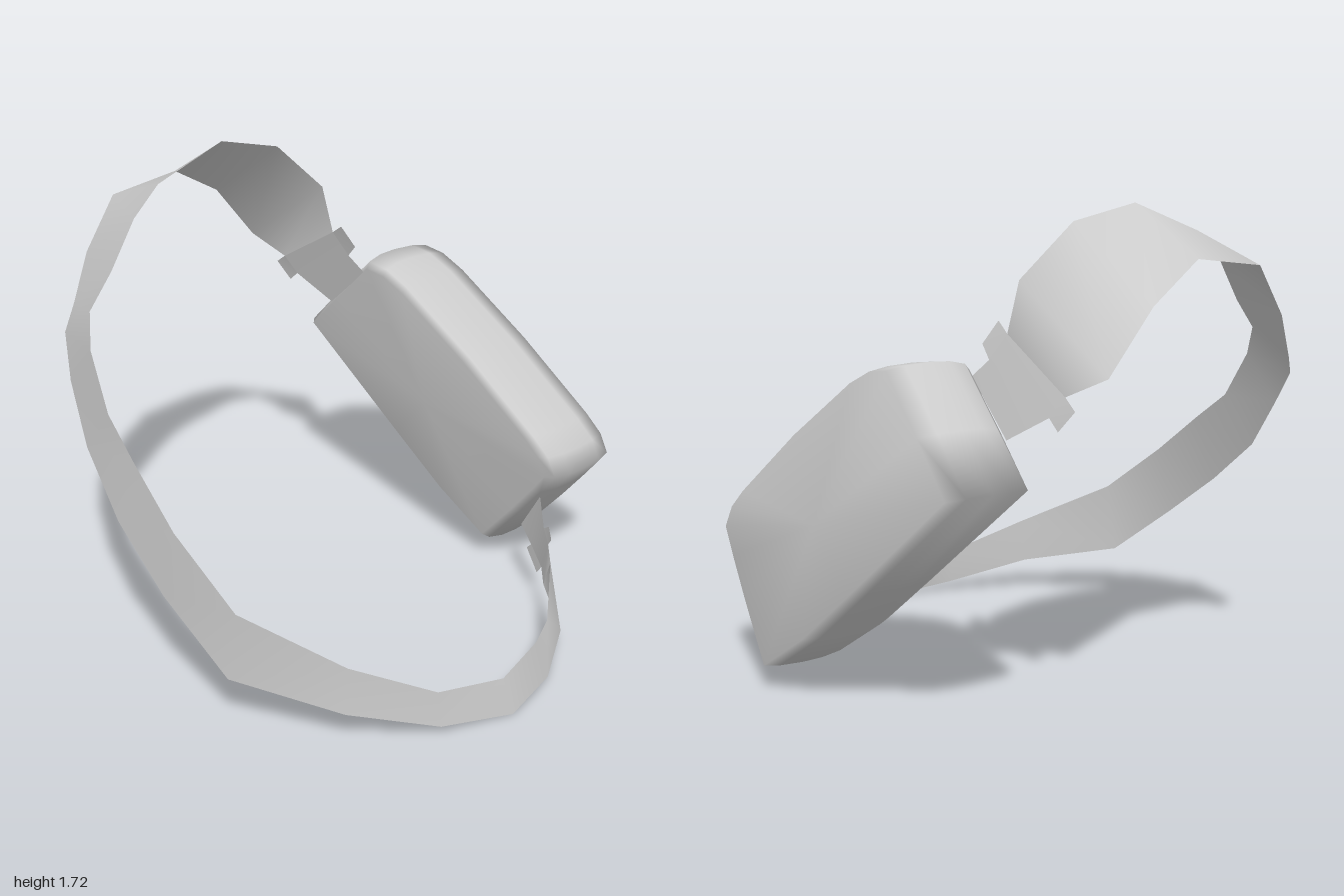
import * as THREE from 'three';
import { mergeVertices } from 'three/addons/utils/BufferGeometryUtils.js';

const grey = new THREE.MeshStandardMaterial({ color: 0xcccccc });
const greyThin = new THREE.MeshStandardMaterial({ color: 0xcccccc, side: THREE.DoubleSide });

function indexed(points, index) {
  const g = new THREE.BufferGeometry();
  g.setAttribute('position', new THREE.Float32BufferAttribute(points.flat(), 3));
  g.setIndex(index);
  const merged = mergeVertices(g, 1e-5);
  merged.computeVertexNormals();
  return merged;
}

function add(group, name, geometry, material) {
  const mesh = new THREE.Mesh(geometry, material);
  mesh.name = name;
  group.add(mesh);
}

// Ribbon through rungs: [upper x, y, z, lower x, y, z]
function ribbon(rungs) {
  const points = [], index = [];
  rungs.forEach((r, i) => {
    points.push(r.slice(0, 3), r.slice(3));
    if (i) {
      const a = 2 * i - 2;
      index.push(a, a + 1, a + 2, a + 1, a + 3, a + 2);
    }
  });
  return indexed(points, index);
}

// Padded case: one tilted outline stacked from its front face to its back face
function caseGeometry() {
  const outline = [
    [0.19, 0.07], [0.38, 0.28], [0.5, 0.42], [0.58, 0.52], [0.55, 0.6], [0.48, 0.67], [0.16, 0.92],
    [-0.17, 1.14], [-0.28, 1.19], [-0.38, 1.2], [-0.6, 1.0], [-0.79, 0.82], [-0.3, 0.42], [-0.05, 0.22],
  ];
  // [depth, outline scale]
  const layers = [[0, 0], [0, 0.93], [0.03, 0.97], [0.1, 0.995], [0.18, 1], [0.28, 0.99], [0.35, 0.965], [0.39, 0]];
  const cx = -0.1, cy = 0.64, n = outline.length;
  const points = [], index = [];
  layers.forEach(([depth, s], k) => {
    outline.forEach(([x, y], i) => {
      const py = cy + (y - cy) * s;
      points.push([cx + (x - cx) * s, py, -0.62 + 0.15 * py - depth]);
      if (k) {
        const a = (k - 1) * n + i, b = (k - 1) * n + (i + 1) % n;
        if (k > 1) index.push(a, a + n, b);
        if (k < layers.length - 1) index.push(b, a + n, b + n);
      }
    });
  });
  return indexed(points, index);
}

export function createModel() {
  const model = new THREE.Group();
  model.name = 'strappedCase';

  add(model, 'case', caseGeometry(), grey);

  // Shared rungs where the strap meets its end pieces
  const rightJoin = [-0.51, 1.29, -0.4, -0.82, 1.11, -0.41];
  const leftJoin = [0.66, 0.24, -0.45, 0.64, 0.14, -0.44];

  // Long strap looping around the front
  add(model, 'strap', ribbon([
    rightJoin,
    [-0.56, 1.47, -0.39, -0.98, 1.18, -0.37],
    [-0.61, 1.66, -0.2, -1, 1.4, -0.2],
    [-0.64, 1.72, 0.05, -0.945, 1.54, 0.05],
    [-0.62, 1.62, 0.37, -0.93, 1.51, 0.36],
    [-0.6, 1.52, 0.5, -0.88, 1.33, 0.53],
    [-0.56, 1.36, 0.64, -0.82, 1.17, 0.64],
    [-0.52, 1.25, 0.77, -0.74, 1.1, 0.74],
    [-0.44, 1.14, 0.83, -0.6, 0.97, 0.82],
    [-0.28, 0.96, 0.88, -0.43, 0.78, 0.88],
    [-0.1, 0.85, 0.91, -0.17, 0.6, 0.94],
    [0.15, 0.68, 0.935, 0.1, 0.42, 0.955],
    [0.44, 0.48, 0.91, 0.4, 0.21, 0.92],
    [0.74, 0.31, 0.68, 0.74, 0.13, 0.69],
    [0.91, 0.18, 0.42, 0.92, 0.04, 0.41],
    [0.965, 0.14, 0.15, 1, 0, 0.13],
    [0.94, 0.19, -0.05, 0.96, 0.03, -0.1],
    [0.83, 0.15, -0.24, 0.84, 0.08, -0.31],
    leftJoin,
  ]), greyThin);

  // Short end pieces running onto the case
  add(model, 'rightStrapEnd', ribbon([
    [-0.38, 1.14, -0.45, -0.6, 0.95, -0.475],
    [-0.45, 1.2, -0.43, -0.77, 1.04, -0.435],
    rightJoin,
  ]), greyThin);
  add(model, 'leftStrapEnd', ribbon([
    leftJoin,
    [0.62, 0.29, -0.48, 0.56, 0.15, -0.52],
    [0.57, 0.33, -0.51, 0.47, 0.2, -0.56],
    [0.51, 0.43, -0.55, 0.38, 0.24, -0.6],
  ]), greyThin);

  // Small tabs sticking out on both sides of each end piece
  const tabs = {
    rightUpperTab: [[-0.45, 1.33, -0.39, -0.51, 1.29, -0.4], [-0.4, 1.25, -0.42, -0.45, 1.2, -0.43]],
    rightLowerTab: [[-0.82, 1.11, -0.41, -0.88, 1.07, -0.42], [-0.77, 1.04, -0.435, -0.82, 1.0, -0.44]],
    leftUpperTab: [[0.65, 0.33, -0.46, 0.62, 0.29, -0.48], [0.61, 0.36, -0.49, 0.57, 0.33, -0.51]],
    leftLowerTab: [[0.56, 0.15, -0.52, 0.53, 0.11, -0.53], [0.47, 0.2, -0.56, 0.44, 0.17, -0.57]],
  };
  for (const [name, rungs] of Object.entries(tabs)) add(model, name, ribbon(rungs), greyThin);

  return model;
}
